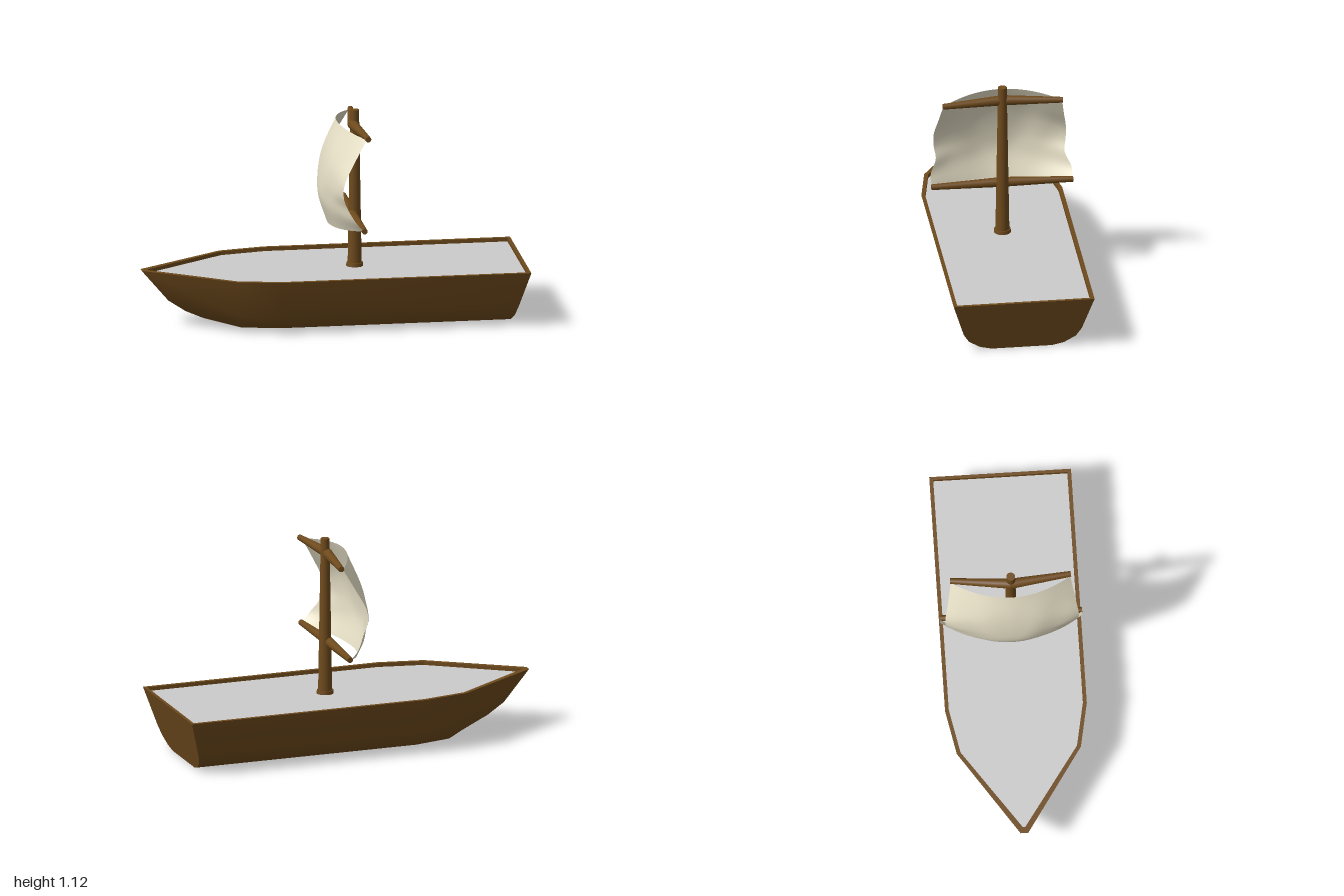
import * as THREE from 'three';
import { toCreasedNormals } from 'three/addons/utils/BufferGeometryUtils.js';

const V = (x, y, z) => new THREE.Vector3(x, y, z);
const mat = (color, side = THREE.FrontSide) => new THREE.MeshStandardMaterial({ color, side });

// Skin rows of points into a surface, optionally closing each row
function loft(rows, closed = false) {
  const n = rows[0].length, index = [];
  for (let i = 0; i < rows.length - 1; i++) {
    for (let j = 0; j < (closed ? n : n - 1); j++) {
      const k = (j + 1) % n, a = i * n, b = a + n;
      index.push(a + j, a + k, b + k, a + j, b + k, b + j);
    }
  }
  const g = new THREE.BufferGeometry().setFromPoints(rows.flat());
  g.setIndex(index);
  return g;
}

// Tapered round bar between two points
function bar(from, to, r0, r1) {
  const d = to.clone().sub(from);
  const g = new THREE.CylinderGeometry(r1, r0, d.length(), 24);
  g.applyQuaternion(new THREE.Quaternion().setFromUnitVectors(V(0, 1, 0), d.normalize()));
  const mid = from.clone().add(to).multiplyScalar(0.5);
  return g.translate(mid.x, mid.y, mid.z);
}

export function createModel() {
  const ship = new THREE.Group();
  const wood = mat(0x6e4a1c), grey = mat(0xcccccc), cloth = mat(0xe6dfc6, THREE.DoubleSide);
  const add = (name, geometry, material, parent = ship) => {
    const m = new THREE.Mesh(geometry, material);
    m.name = name;
    parent.add(m);
    return m;
  };

  // Half sections [x, y, z] from gunwale to keel, bow to stern
  const side = [[0.3, 0.37], [0.105, 0.31], [0.055, 0.28], [0.016, 0.22], [0, 0.16]];
  const stem = [[-1, 0.3, 0.02], [-0.86, 0.135, 0.02], [-0.77, 0.075, 0.02], [-0.68, 0.035, 0.02], [-0.54, 0, 0.02]];
  const shoulderX = [-0.54, -0.53, -0.515, -0.5, -0.46];
  const halves = [
    stem,
    side.map(([y, z], i) => [shoulderX[i], y, z * (0.875 - 0.03 * i)]),
    side.map(([y, z]) => [-0.3, y, z]),
    side.map(([y, z]) => [0.91 + 0.3 * y, y, z]),
  ];
  const full = h => [...h.map(p => V(...p)), ...h.map(([x, y, z]) => V(x, y, -z)).reverse()];
  const hull = new THREE.Group();
  hull.name = 'hull';
  ship.add(hull);
  add('hullSides', toCreasedNormals(loft(halves.map(full)), 0.72), wood, hull);

  // Flat ends: transom at the stern, narrow stem at the bow
  const cap = (h, s) => toCreasedNormals(loft(h.map(([x, y, z]) => [V(x, y, -s * z), V(x, y, s * z)])), 0.3);
  add('transom', cap(halves[3], 1), wood, hull);
  add('stem', cap(stem, -1), wood, hull);

  // Gunwale rim and recessed deck
  const outer = [[1, 0.37], [-0.3, 0.37], [-0.54, 0.324], [-1, 0.02]];
  const inner = [[0.983, 0.35], [-0.295, 0.35], [-0.533, 0.304], [-0.967, 0.006]];
  const loop = (pts, y) => full(pts.map(([x, z]) => [x, y, z]));
  add('gunwale', toCreasedNormals(loft([loop(inner, 0.28), loop(inner, 0.3), loop(outer, 0.3)], true), 0.3), wood);
  const deckShape = new THREE.Shape(loop(inner, 0).map(p => new THREE.Vector2(p.x, -p.z)));
  add('deck', new THREE.ShapeGeometry(deckShape).rotateX(-Math.PI / 2).translate(0, 0.28, 0), grey);

  // Mast with a collar at its foot
  add('mast', bar(V(0.125, 0.28, 0), V(0.125, 1.12, 0), 0.037, 0.023), wood);
  add('mastCollar', bar(V(0.125, 0.28, 0), V(0.125, 0.298, 0), 0.045, 0.043), wood);

  // Yards: two tapering arms each, bent slightly at the mast
  for (const [name, y, x0, x1, half, r] of [
    ['upperYard', 1.04, 0.115, 0.15, 0.315, 0.027],
    ['lowerYard', 0.56, 0.108, 0.122, 0.372, 0.026],
  ]) {
    const yard = new THREE.Group();
    yard.name = name;
    ship.add(yard);
    for (const s of [1, -1]) add('yardArm', bar(V(x0, y, 0), V(x1, y, s * half), r, 0.015), wood, yard);
  }

  // Billowing sail, blended from its edge curve to its centre curve
  const edge = new THREE.CatmullRomCurve3([
    V(0.14, 1.035, 0.312), V(0.075, 0.92, 0.33), V(0.02, 0.81, 0.348), V(0.015, 0.74, 0.346),
    V(0.035, 0.68, 0.338), V(0.075, 0.61, 0.37), V(0.115, 0.56, 0.37),
  ]);
  const centre = new THREE.CatmullRomCurve3([
    V(0.03, 1.063, 0), V(-0.03, 0.91, 0), V(-0.06, 0.76, 0), V(-0.062, 0.66, 0), V(-0.02, 0.522, 0),
  ]);
  const rows = [], nu = 40, nv = 32;
  for (let i = 0; i <= nv; i++) {
    const t = i / nv, e = edge.getPoint(t), c = centre.getPoint(t), row = [];
    for (let j = 0; j <= nu; j++) {
      const u = j / nu * 2 - 1, w = u * u;
      // Soft folds fanning out from the corners
      const fold = 0.008 * Math.sin(Math.PI * t) * (1 - w) * Math.sin(9 * Math.abs(u) + 5 * t) * Math.abs(u);
      row.push(V(c.x + (e.x - c.x) * w + fold, c.y + (e.y - c.y) * w, e.z * u));
    }
    rows.push(row);
  }
  const sail = loft(rows);
  sail.computeVertexNormals();
  add('sail', sail, cloth);

  return ship;
}
